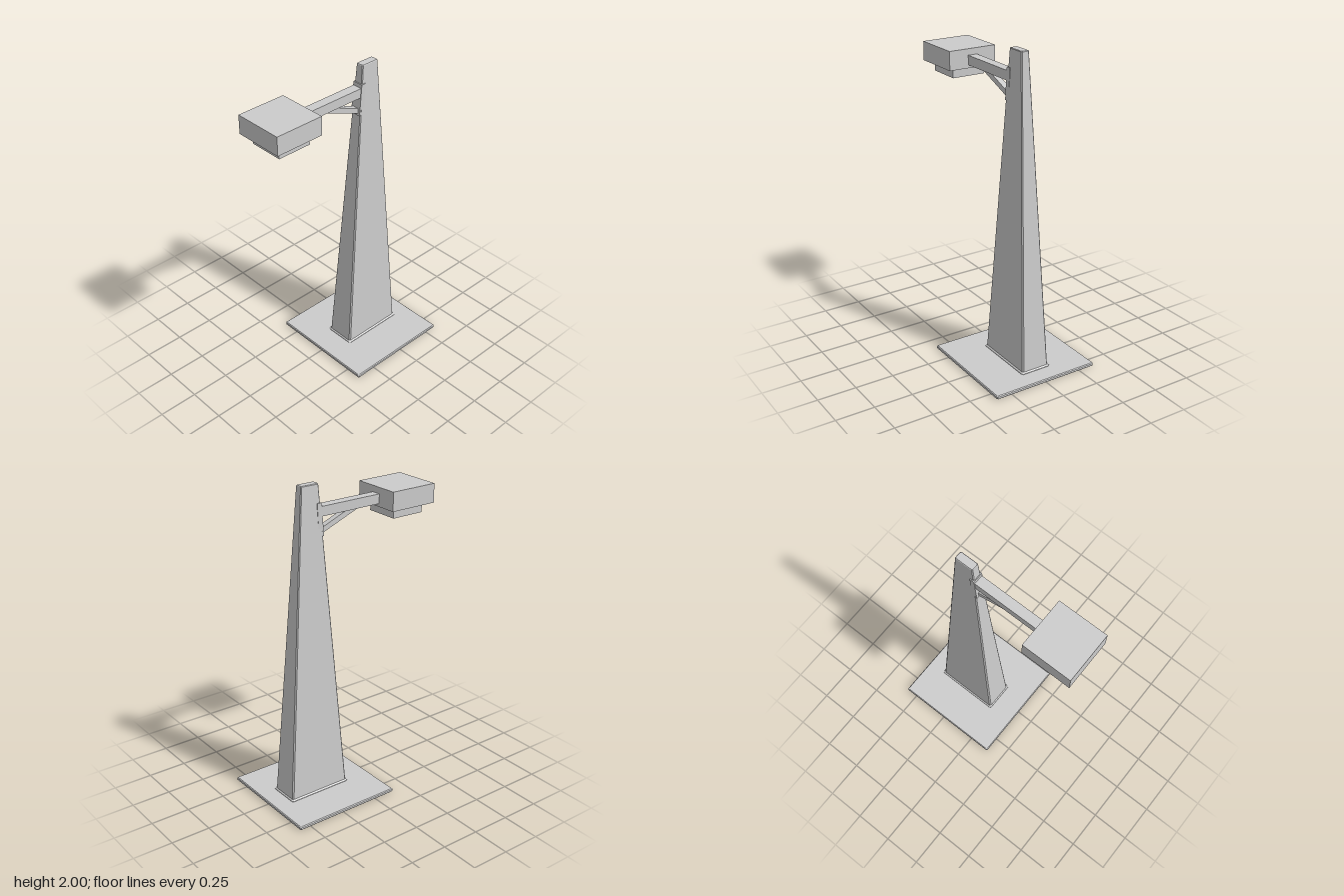
import * as THREE from 'three';

const material = new THREE.MeshStandardMaterial({ color: 0xcccccc, flatShading: true });
const POST_X = -0.004, POST_Z = -0.244;

function part(name, geometry, x = 0, y = 0, z = 0) {
  const mesh = new THREE.Mesh(geometry, material);
  mesh.name = name;
  mesh.position.set(x, y, z);
  return mesh;
}

// Solid through rectangular sections with cut corners: [y, half width, half depth, corner cut]
function loft(sections) {
  const rings = sections.map(([y, w, d, c]) => [
    [w, d - c], [w - c, d], [c - w, d], [-w, d - c],
    [-w, c - d], [c - w, -d], [w - c, -d], [w, c - d],
  ].map(([x, z]) => [x, y, z]));
  const pos = [];
  const tri = (a, b, c) => pos.push(...a, ...b, ...c);
  const last = rings[rings.length - 1];
  for (let i = 0; i < 8; i++) {
    const j = (i + 1) % 8;
    for (let r = 0; r < rings.length - 1; r++) {
      const lo = rings[r], hi = rings[r + 1];
      tri(lo[i], hi[i], hi[j]);
      tri(lo[i], hi[j], lo[j]);
    }
    if (i > 0 && i < 7) {
      tri(rings[0][0], rings[0][i], rings[0][j]);
      tri(last[0], last[j], last[i]);
    }
  }
  const geometry = new THREE.BufferGeometry();
  geometry.setAttribute('position', new THREE.Float32BufferAttribute(pos, 3));
  geometry.computeVertexNormals();
  return geometry;
}

// Side outline given as [z, y], extruded evenly across x
function sideProfile(points, width) {
  const shape = new THREE.Shape(points.map(([z, y]) => new THREE.Vector2(z, y)));
  const geometry = new THREE.ExtrudeGeometry(shape, { depth: width, bevelEnabled: false });
  return geometry.translate(0, 0, -width / 2).rotateY(-Math.PI / 2);
}

export function createModel() {
  const model = new THREE.Group();
  model.name = 'streetLamp';

  // Ground plate with softened edges
  model.add(part('basePlate', loft([
    [0, 0.353, 0.354, 0.005], [0.005, 0.358, 0.359, 0.005],
    [0.018, 0.358, 0.359, 0.005], [0.023, 0.353, 0.354, 0.005],
  ]), 0, 0, -0.218));

  // Tapered post with a small flare at its foot
  model.add(part('post', loft([
    [0.02, 0.102, 0.215, 0.008], [0.026, 0.102, 0.215, 0.008],
    [0.034, 0.093, 0.207, 0.008], [1.996, 0.026, 0.061, 0.005], [2, 0.023, 0.058, 0.005],
  ]), POST_X, 0, POST_Z));

  // Sloping bracket plate, arm and brace
  model.add(part('bracketPlate', sideProfile(
    [[-0.2, 1.885], [-0.17, 1.885], [-0.154, 1.685], [-0.19, 1.685]], 0.07), POST_X));
  model.add(part('arm', sideProfile(
    [[-0.19, 1.862], [-0.19, 1.802], [0.27, 1.802], [0.27, 1.862]], 0.062), POST_X));
  model.add(part('brace', sideProfile(
    [[-0.17, 1.725], [-0.17, 1.692], [-0.155, 1.697], [0.122, 1.806], [0.03, 1.806]], 0.038), POST_X));

  // Lamp housing with the lens box below
  model.add(part('lampHousing', new THREE.BoxGeometry(0.322, 0.12, 0.32), POST_X, 1.842, 0.417));
  model.add(part('lampLens', new THREE.BoxGeometry(0.222, 0.066, 0.222), POST_X, 1.753, 0.415));

  return model;
}
